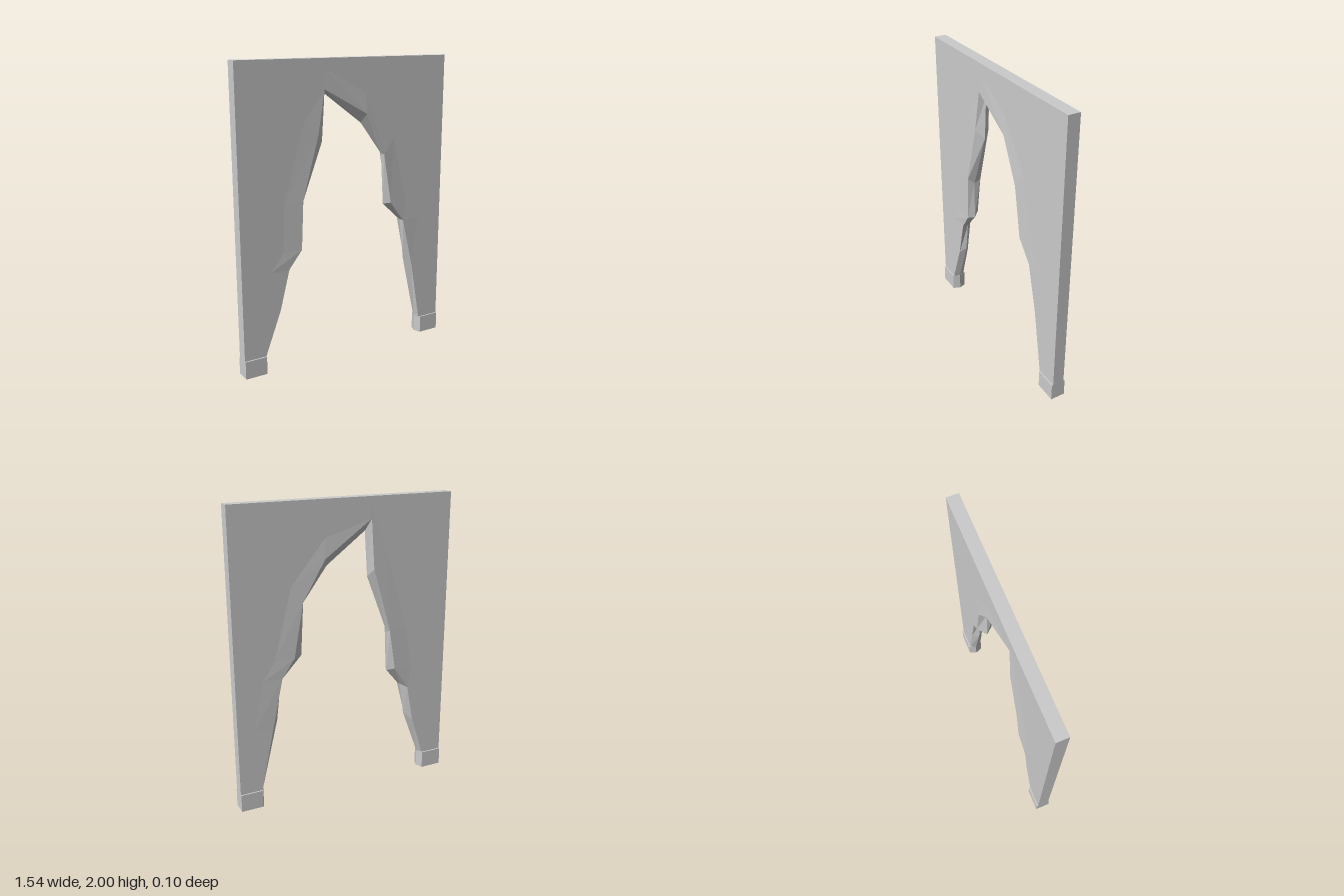
import * as THREE from 'three';

const HALF_W = 0.77, HALF_T = 0.04, FOOT_H = 0.12, TOP = 2;

// Broken edge, left foot to right foot: front x,y / middle ridge x,y / back x,y / edge half thickness
const EDGE = [
  [-0.62, 0.12, -0.60, 0.12, -0.62, 0.12, 0.04],
  [-0.51, 0.41, -0.475, 0.45, -0.53, 0.40, 0.04],
  [-0.44, 0.68, -0.44, 0.68, -0.48, 0.66, 0.04],
  [-0.35, 0.80, -0.33, 0.80, -0.37, 0.82, 0.046],
  [-0.335, 1.12, -0.325, 1.08, -0.325, 1.10, 0.046],
  [-0.22, 1.53, -0.17, 1.48, -0.20, 1.53, 0.044],
  [-0.17, 1.81, -0.15, 1.78, -0.18, 1.86, 0.04],
  [0.14, 1.64, 0.12, 1.58, 0.15, 1.63, 0.046],
  [0.28, 1.36, 0.285, 1.36, 0.305, 1.37, 0.047],
  [0.34, 1.02, 0.305, 1.01, 0.37, 1.01, 0.046],
  [0.45, 0.88, 0.45, 0.88, 0.456, 0.885, 0.042],
  [0.53, 0.56, 0.485, 0.59, 0.53, 0.54, 0.04],
  [0.61, 0.12, 0.60, 0.12, 0.62, 0.12, 0.04],
];

// Point on the wall's straight outline that belongs to edge point i
function outline(i) {
  const [x, y] = EDGE[i];
  if (i === 5) return [-HALF_W, TOP];
  if (i === 8) return [HALF_W, TOP];
  if (i === 6 || i === 7) return [x, TOP];
  return [x < 0 ? -HALF_W : HALF_W, y];
}

// Wall: closed cross-sections running along the arch, joined by quads
function wallGeometry() {
  const sections = EDGE.map(([fx, fy, mx, my, bx, by, t], i) => {
    const [ox, oy] = outline(i);
    const band = (x, y, z) => {
      const k = Math.min(0.7, 0.13 / Math.hypot(ox - x, oy - y));
      return [x + (ox - x) * k, y + (oy - y) * k, z];
    };
    return [
      [ox, oy, HALF_T], band(fx, fy, HALF_T), [fx, fy, t], [mx, my, 0],
      [bx, by, -t], band(bx, by, -HALF_T), [ox, oy, -HALF_T],
    ];
  });
  const pos = [];
  for (let i = 0; i < sections.length - 1; i++) {
    const p = sections[i], q = sections[i + 1];
    for (let j = 0; j < p.length; j++) {
      const n = (j + 1) % p.length;
      pos.push(...p[j], ...p[n], ...q[n], ...p[j], ...q[n], ...q[j]);
    }
  }
  const geo = new THREE.BufferGeometry();
  geo.setAttribute('position', new THREE.Float32BufferAttribute(pos, 3));
  geo.computeVertexNormals();
  return geo;
}

// Foot: block with a pointed inner end
function footGeometry(side) {
  const shape = new THREE.Shape([
    [HALF_W, -0.05], [HALF_W, 0.05], [0.62, 0.05], [0.60, 0], [0.62, -0.05],
  ].map(([x, z]) => new THREE.Vector2(side * x, z)));
  return new THREE.ExtrudeGeometry(shape, { depth: FOOT_H, bevelEnabled: false }).rotateX(-Math.PI / 2);
}

export function createModel() {
  const group = new THREE.Group();
  group.name = 'brokenWall';
  const material = new THREE.MeshStandardMaterial({ color: 0xcccccc, flatShading: true });
  const add = (geo, name) => {
    const mesh = new THREE.Mesh(geo, material);
    mesh.name = name;
    group.add(mesh);
  };
  add(wallGeometry(), 'wall');
  add(footGeometry(1), 'leftFoot');
  add(footGeometry(-1), 'rightFoot');
  return group;
}
